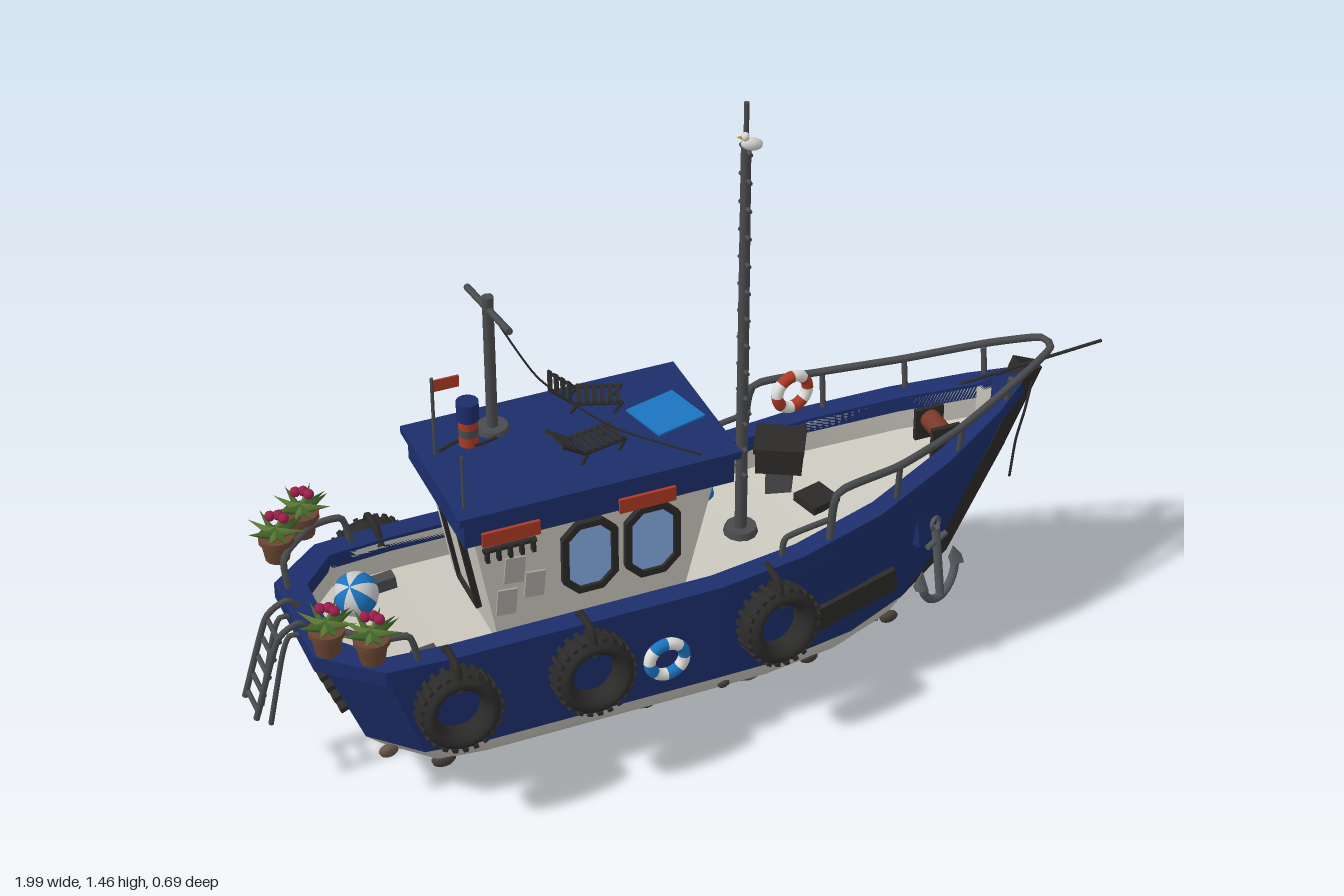
import * as THREE from 'three';
import { toCreasedNormals } from 'three/addons/utils/BufferGeometryUtils.js';

const V = (x, y, z) => new THREE.Vector3(x, y, z);
const BLUE = 0x1c2e6b, WHITE = 0xc9c6bc, DARK = 0x2b2a29, STEEL = 0x4a4b4d, RED = 0xb03a26, GLASS = 0x86aee6, SKY = 0x1a75c0;
const mats = {};
const mat = c => (mats[c] ??= new THREE.MeshStandardMaterial({ color: c, side: THREE.DoubleSide }));

function add(parent, name, geo, color, pos = [0, 0, 0], rot = [0, 0, 0]) {
  const m = new THREE.Mesh(geo, mat(color));
  m.name = name;
  m.position.set(...pos);
  m.rotation.set(...rot);
  parent.add(m);
  return m;
}
function group(parent, name, pos = [0, 0, 0], rot = [0, 0, 0], order = 'YXZ') {
  const g = new THREE.Group();
  g.name = name;
  g.position.set(...pos);
  g.rotation.set(...rot, order);
  parent.add(g);
  return g;
}
const box = (x, y, z) => new THREE.BoxGeometry(x, y, z);
const cyl = (a, b, h, n = 12) => new THREE.CylinderGeometry(a, b, h, n);
function rod(parent, name, a, b, r, color = STEEL) {
  const p = V(...a), q = V(...b), d = q.clone().sub(p);
  const m = add(parent, name, cyl(r, r, d.length(), 8), color, p.clone().lerp(q, 0.5).toArray());
  m.quaternion.setFromUnitVectors(V(0, 1, 0), d.normalize());
}
function tube(parent, name, pts, r, color = STEEL) {
  const c = new THREE.CatmullRomCurve3(pts.map(p => V(...p)), false, 'catmullrom', 0.3);
  add(parent, name, new THREE.TubeGeometry(c, pts.length * 6, r, 6), color);
}
// Surface through equal-length cross-sections
function loft(sections, crease = 0.5) {
  const n = sections[0].length, idx = [];
  for (let i = 0; i < sections.length - 1; i++)
    for (let j = 0; j < n - 1; j++) {
      const a = i * n + j, b = a + n;
      idx.push(a, b, a + 1, b, b + 1, a + 1);
    }
  const g = new THREE.BufferGeometry();
  g.setAttribute('position', new THREE.Float32BufferAttribute(sections.flat(2), 3));
  g.setIndex(idx);
  return toCreasedNormals(g, crease);
}
const mirrored = half => [...half, ...half.slice(0, -1).reverse().map(([x, y, z]) => [x, y, -z])];

// Hull stations: sheer x, sheer y, sheer half width, chine x, chine half width, keel x
const ST = [
  [-0.875, 0.415, 0, -0.78, 0, -0.64], [-0.875, 0.415, 0.13, -0.78, 0.13, -0.64],
  [-0.76, 0.41, 0.235, -0.68, 0.23, -0.58], [-0.6, 0.41, 0.245, -0.55, 0.245, -0.5],
  [0, 0.412, 0.245, 0, 0.245, 0], [0.2, 0.437, 0.243, 0.15, 0.243, 0.14],
  [0.4, 0.475, 0.215, 0.34, 0.21, 0.3], [0.6, 0.522, 0.15, 0.5, 0.14, 0.42],
  [0.76, 0.565, 0.075, 0.59, 0.07, 0.47], [0.87, 0.6, 0.006, 0.66, 0.004, 0.5]];
const PROFILE = [[0.165, 1], [0.125, 0.92], [0.085, 0.76], [0.04, 0.42], [0.015, 0]];

function interp(table, x) {
  for (let i = 1; i < table.length; i++) {
    const [x0, v0] = table[i - 1], [x1, v1] = table[i];
    if ((x - x0) * (x - x1) <= 0 && x0 !== x1) return v0 + (v1 - v0) * (x - x0) / (x1 - x0);
  }
  return 0;
}

function buildHull(boat) {
  const hull = group(boat, 'hull');
  add(hull, 'topsides', loft(ST.map(([x, y, w, cx, cw]) => [[x, y, w], [cx, 0.165, cw]])), BLUE);
  add(hull, 'topsidesOther', loft(ST.map(([x, y, w, cx, cw]) => [[cx, 0.165, -cw], [x, y, -w]])), BLUE);
  add(hull, 'bottom', loft(ST.map(([, , , cx, cw, kx]) =>
    mirrored(PROFILE.map(([y, f]) => [kx + (cx - kx) * (y - 0.015) / 0.15, y, cw * f]))), 0.7), WHITE);
  // Rim, bulwark inside and deck
  const inner = ST.map(([x, y, w], i) => [x + (i < 2 ? 0.055 : i === 2 ? 0.02 : i === 9 ? -0.09 : 0), y, Math.max(w - (i === 1 ? 0.025 : 0.042), 0)]);
  for (const s of [1, -1])
    add(hull, 'rim', loft(ST.map(([x, y, w], i) => {
      const o = w ? w + 0.008 : 0, ox = x + (i < 2 ? -0.01 : 0), [ix, , iw] = inner[i];
      return [[ox, y - 0.03, s * o], [ox, y + 0.008, s * o], [ix, y + 0.008, s * iw], [ix, y - 0.03, s * iw]];
    }), 0.4), BLUE);
  add(hull, 'deck', loft(inner.map(([x, y, w]) => mirrored([[x, y, w], [x, y - 0.08, w], [x, y - 0.08, 0]])), 0.4), WHITE);
  // Keel and stem
  add(hull, 'keel', box(1.18, 0.022, 0.026), DARK, [-0.08, 0.011, 0]);
  const stem = [[0.47, 0, 0.012], [0.51, 0, 0.013], [0.67, 0.155, 0.02], [0.8, 0.42, 0.03], [0.885, 0.615, 0.036]];
  add(hull, 'stem', loft(stem.map(([x, y, w]) => [[x - 0.035, y + 0.012, w], [x + 0.012, y, w * 0.5], [x + 0.012, y, -w * 0.5], [x - 0.035, y + 0.012, -w], [x - 0.035, y + 0.012, w]])), DARK);
  // Barnacle lumps
  const chine = ST.slice(1).map(s => [s[3], s[4]]);
  const lumps = [[-0.74, 0.135, 0.022], [-0.62, 0.08, 0.028], [-0.45, 0.04, 0.028], [-0.33, 0.06, 0.016], [-0.13, 0.06, 0.026], [0.13, 0.045, 0.04], [0.26, 0.08, 0.022], [0.48, 0.1, 0.022], [-0.62, 0.03, 0.03], [0.02, 0.13, 0.015]];
  for (const s of [1, -1])
    lumps.forEach(([x, y, r], i) => {
      const X = s > 0 ? x : x * 0.93 - 0.03;
      const m = add(hull, 'barnacle', new THREE.DodecahedronGeometry(r, 1), i % 5 ? 0x47423d : 0x6d5a4e,
        [X, y, s * interp(chine, X) * interp(PROFILE, y)], [s * (1 - y * 4), 0, 0]);
      m.scale.z = 0.6;
    });
  // Transom slats
  for (let i = 0; i < 5; i++)
    add(hull, 'transomSlat', box(0.035, 0.012, 0.17), DARK, [-0.855 + i * 0.013, 0.35 - i * 0.033, 0], [0, 0, 0.4]);
}

// Chamfered rectangle outline
function chamfer(w, h, c, Type = THREE.Shape) {
  const a = w / 2, b = h / 2;
  return new Type([[-a + c, -b], [a - c, -b], [a, -b + c], [a, b - c], [a - c, b], [-a + c, b], [-a, b - c], [-a, -b + c]].map(p => new THREE.Vector2(...p)));
}
function windowUnit(parent, name, w, h, pos, rot, fill = GLASS, c = 0.035) {
  const g = group(parent, name, pos, rot);
  const frame = chamfer(w, h, c);
  frame.holes.push(chamfer(w - 0.03, h - 0.03, c * 0.75, THREE.Path));
  add(g, 'frame', new THREE.ExtrudeGeometry(frame, { depth: 0.014, bevelEnabled: false }), DARK);
  add(g, 'pane', new THREE.ShapeGeometry(chamfer(w - 0.02, h - 0.02, c * 0.8)), fill, [0, 0, 0.006]);
}

function buildCabin(boat) {
  const cabin = group(boat, 'cabin');
  const side = new THREE.Shape([[-0.472, 0.33], [-0.05, 0.33], [0.032, 0.65], [-0.527, 0.65]].map(p => new THREE.Vector2(...p)));
  add(cabin, 'walls', new THREE.ExtrudeGeometry(side, { depth: 0.3, bevelEnabled: false }), WHITE, [0, 0, -0.15]);
  add(cabin, 'roof', box(0.615, 0.07, 0.355), BLUE, [-0.245, 0.672, 0]);
  add(cabin, 'roofTop', box(0.64, 0.018, 0.375), BLUE, [-0.245, 0.71, 0]);
  for (const s of [1, -1]) {
    const ry = s > 0 ? 0 : Math.PI;
    for (const x of [-0.265, -0.12]) windowUnit(cabin, 'sideWindow', 0.128, 0.185, [x, 0.523, s * 0.15], [0, ry, 0]);
    for (const x of [-0.45, -0.14]) add(cabin, 'redPlate', box(0.13, 0.035, 0.012), RED, [x, 0.65, s * 0.179]);
    // Hook rail
    add(cabin, 'hookRail', box(0.12, 0.008, 0.012), DARK, [-0.445, 0.6, s * 0.155]);
    for (let i = 0; i < 5; i++) add(cabin, 'hook', box(0.008, 0.03, 0.014), DARK, [-0.497 + i * 0.026, 0.588, s * 0.158]);
  }
  for (const [x, y] of [[-0.435, 0.53], [-0.39, 0.48], [-0.455, 0.45]])
    add(cabin, 'patch', box(0.045, 0.065, 0.006), 0xa9a7a0, [x, y, 0.152], [0, 0, -0.1]);
  add(cabin, 'pinkCloth', new THREE.ConeGeometry(0.022, 0.1, 6), 0xb8204e, [-0.4, 0.54, -0.165]);
  windowUnit(cabin, 'frontWindow', 0.2, 0.13, [0.012, 0.565, 0], [0.25, Math.PI / 2, 0], GLASS, 0.015);
  windowUnit(cabin, 'door', 0.13, 0.25, [-0.5, 0.5, 0], [0.17, -Math.PI / 2, 0], WHITE, 0.006);
  add(cabin, 'lantern', new THREE.SphereGeometry(0.02, 10, 8), SKY, [0.015, 0.59, 0.13]);
  add(cabin, 'lanternBracket', box(0.03, 0.012, 0.012), DARK, [0.015, 0.615, 0.13]);

  // Funnel, flag, aerial and pole on the roof
  const top = group(boat, 'roofGear', [0, 0.718, 0]);
  [[0.022, 0.025, RED], [0.022, 0.02, STEEL], [0.022, 0.02, RED], [0.025, 0.045, BLUE]].reduce((y, [r, h, c]) => {
    add(top, 'funnel', cyl(r, r, h), c, [-0.45, y + h / 2, -0.07]);
    return y + h;
  }, 0);
  rod(top, 'flagPole', [-0.53, 0, -0.06], [-0.53, 0.195, -0.06], 0.004);
  add(top, 'flag', box(0.06, 0.028, 0.004), RED, [-0.5, 0.175, -0.06]);
  rod(top, 'aerial', [-0.54, -0.02, 0.145], [-0.54, 0.13, 0.145], 0.003);
  rod(top, 'pole', [-0.385, 0, -0.1], [-0.385, 0.34, -0.1], 0.013);
  add(top, 'poleFoot', cyl(0.035, 0.038, 0.012), STEEL, [-0.385, 0.006, -0.1]);
  rod(top, 'crossbar', [-0.385, 0.33, 0.03], [-0.385, 0.287, -0.23], 0.008);
  tube(top, 'cable', [[-0.385, 0.31, -0.1], [-0.3, 0.15, -0.035], [-0.17, 0.05, 0.06], [-0.01, 0.005, 0.17]], 0.0025, DARK);
  tube(top, 'looseRope', [[-0.39, 0.006, -0.06], [-0.44, 0.006, -0.05], [-0.47, 0.006, -0.08], [-0.52, 0.006, -0.06]], 0.004, DARK);
  add(top, 'towel', box(0.125, 0.005, 0.12), SKY, [-0.02, 0.004, -0.005], [0, 0.25, 0]);
  for (const [x, z, a] of [[-0.17, -0.11, -0.35], [-0.235, 0.06, 0.2]]) {
    const l = group(top, 'lounger', [x, 0, z], [0, a, 0]);
    for (const s of [-0.033, 0.033]) {
      rod(l, 'seatRail', [-0.02, 0.025, s], [0.08, 0.025, s], 0.004, DARK);
      rod(l, 'backRail', [-0.02, 0.025, s], [-0.075, 0.065, s], 0.004, DARK);
      for (const lx of [-0.03, 0.065]) rod(l, 'leg', [lx, 0, s], [lx + 0.02, 0.027, s], 0.004, DARK);
    }
    for (let i = 0; i < 6; i++) add(l, 'seatSlat', box(0.01, 0.005, 0.07), DARK, [-0.01 + i * 0.017, 0.029, 0]);
    for (let i = 0; i < 4; i++) add(l, 'backSlat', box(0.01, 0.005, 0.07), DARK, [-0.03 - i * 0.014, 0.036 + i * 0.0102, 0], [0, 0, -0.63]);
  }
}

function lifeRing(parent, color, pos, rot) {
  const g = group(parent, 'lifeRing', pos, rot);
  for (let i = 0; i < 8; i++)
    add(g, 'ringPart', new THREE.TorusGeometry(0.041, 0.014, 8, 5, Math.PI / 4), i % 2 ? 0xe4e2dc : color, [0, 0, 0], [0, 0, i * Math.PI / 4]);
}

function buildSides(boat) {
  const fenders = group(boat, 'fenders');
  for (const [x, s] of [[-0.62, 1], [-0.315, 1], [0.12, 1], [-0.62, -1], [-0.315, -1], [-0.125, -1], [0.12, -1]]) {
    const t = group(fenders, 'tyre', [x, 0.318, s * 0.295], [-s * 0.16, s * (x > 0 ? 0.12 : x < -0.5 ? -0.04 : 0), 0]);
    add(t, 'tyreBody', new THREE.TorusGeometry(0.07, 0.021, 10, 28), DARK).scale.z = 1.75;
    for (let i = 0; i < 24; i++) {
      const a = i * Math.PI / 12;
      add(t, 'tread', box(0.008, 0.011, 0.055), DARK, [Math.cos(a) * 0.089, Math.sin(a) * 0.089, 0], [0, 0, a]);
    }
    tube(fenders, 'strap', [[x, 0.375, s * 0.315], [x, 0.425, s * 0.29], [x, 0.43, s * 0.23], [x, 0.4, s * 0.2]], 0.009, DARK);
  }
  lifeRing(boat, SKY, [-0.13, 0.272, 0.262], [0, 0, 0]);
  lifeRing(boat, RED, [0.375, 0.55, -0.2], [0, 0.15, 0]);
  add(boat, 'sidePlate', box(0.235, 0.06, 0.014), DARK, [0.335, 0.262, 0.222], [0, 0.17, 0.13]);
  const panel = group(boat, 'redPanel', [0.35, 0.385, -0.229], [0, Math.PI - 0.15, 0]);
  add(panel, 'panelFrame', box(0.145, 0.095, 0.012), DARK);
  for (const x of [-0.034, 0.034]) add(panel, 'panelPane', box(0.056, 0.077, 0.018), 0xc8412a, [x, 0, 0]);
  // Anchor with its mounting plate
  const an = group(boat, 'anchor', [0.565, 0.27, 0.165], [-0.12, 0.5, 0]);
  add(an, 'anchorPlate', box(0.075, 0.075, 0.02), BLUE, [-0.005, 0.09, -0.015]);
  rod(an, 'shank', [0, -0.09, 0.012], [0, 0.09, 0.012], 0.01, 0x55595e);
  rod(an, 'stock', [-0.035, 0.055, 0.012], [0.035, 0.055, 0.012], 0.007, 0x55595e);
  add(an, 'anchorEye', new THREE.TorusGeometry(0.014, 0.005, 6, 12), 0x55595e, [0, 0.1, 0.012]);
  add(an, 'anchorArms', new THREE.TorusGeometry(0.065, 0.01, 8, 14, Math.PI), 0x55595e, [0, -0.03, 0.012], [0, 0, Math.PI]);
  for (const s of [-1, 1]) add(an, 'fluke', new THREE.ConeGeometry(0.022, 0.045, 4), 0x55595e, [s * 0.065, -0.015, 0.012], [0, 0, s * 0.2]);
}

function buildDeckGear(boat) {
  // Main mast with rungs
  const mast = group(boat, 'mast', [0.16, 0, 0]);
  add(mast, 'mastPole', cyl(0.011, 0.014, 1.01), STEEL, [0, 0.855, 0]);
  rod(mast, 'mastTip', [0, 1.35, 0], [0, 1.455, 0], 0.006);
  add(mast, 'mastFoot', cyl(0.036, 0.04, 0.016), STEEL, [0, 0.362, 0]);
  for (let i = 0; i < 13; i++) rod(mast, 'rung', [0, 0.52 + i * 0.0685, -0.026], [0, 0.52 + i * 0.0685, 0.026], 0.005);
  const bird = group(boat, 'bird', [0.165, 1.365, 0.018], [0, 0, -0.25]);
  add(bird, 'birdBody', new THREE.SphereGeometry(0.016, 10, 8), 0xd9d8d4).scale.set(1.6, 0.9, 0.9);
  add(bird, 'birdHead', new THREE.SphereGeometry(0.01, 8, 6), 0xd9d8d4, [-0.02, 0.016, 0]);
  add(bird, 'beak', new THREE.ConeGeometry(0.004, 0.014, 6), 0xc99a2e, [-0.034, 0.014, 0], [0, 0, 1.57]);

  // Rails at bow and stern
  const rails = group(boat, 'rails');
  tube(rails, 'bowRail', [1, -1].flatMap(s => {
    const p = [[0.27, 0.46, 0.23], [0.29, 0.575, 0.225], [0.45, 0.585, 0.2], [0.62, 0.605, 0.15], [0.8, 0.645, 0.08], [0.91, 0.667, 0.025]].map(([x, y, z]) => [x, y, s * z]);
    return s > 0 ? p : p.reverse();
  }), 0.009);
  for (const s of [1, -1]) {
    for (const [x, y, z, h] of [[0.45, 0.48, 0.19, 0.585], [0.63, 0.53, 0.135, 0.607], [0.79, 0.57, 0.055, 0.643]])
      rod(rails, 'bowPost', [x, y, s * z], [x, h, s * (z + 0.012)], 0.007);
    tube(rails, 'lowRail', [[0.16, 0.43, s * 0.22], [0.17, 0.485, s * 0.22], [0.28, 0.505, s * 0.22]], 0.007);
    tube(rails, 'sternRail', [[-0.68, 0.41, s * 0.225], [-0.7, 0.485, s * 0.225], [-0.77, 0.49, s * 0.215], [-0.86, 0.49, s * 0.13], [-0.86, 0.41, s * 0.11]], 0.008);
    // Flower pots on the quarters
    for (const [x, z] of [[-0.862, 0.175], [-0.785, 0.238]]) {
      const p = group(boat, 'flowerPot', [x, 0.46, s * z]);
      add(p, 'pot', cyl(0.036, 0.027, 0.055), 0x6a4632, [0, 0.027, 0]);
      add(p, 'potRim', cyl(0.04, 0.04, 0.014), 0x6a4632, [0, 0.053, 0]);
      for (let i = 0; i < 9; i++) {
        const a = i * 2.4, leaf = group(p, 'leaf', [0, 0.055, 0], [0, a, 0]);
        add(leaf, 'leafBlade', new THREE.ConeGeometry(0.017, 0.075, 4), i % 2 ? 0x5f7d35 : 0x436a2c, [0.03, 0.018, 0], [0, 0, -1.05 - 0.15 * (i % 3)]).scale.z = 0.8;
        if (i % 3 === 0) add(leaf, 'blossom', new THREE.IcosahedronGeometry(0.012, 1), 0x9c1f4c, [0.02, 0.045, 0]);
      }
    }
    add(boat, 'sternBollard', box(0.055, 0.03, 0.03), STEEL, [-0.64, 0.35, s * 0.14], [0, 0, 0.1]);
    add(boat, 'sideCleat', box(0.05, 0.03, 0.02), STEEL, [0.11, 0.36, s * 0.175]);
    // Boarding ladder
    tube(boat, 'ladderRail', [[-0.86, 0.42, s * 0.042], [-0.885, 0.445, s * 0.042], [-0.935, 0.41, s * 0.042], [-0.995, 0.215, s * 0.042]], 0.007);
    tube(boat, 'ladderBrace', [[-0.86, 0.4, s * 0.034], [-0.905, 0.41, s * 0.034], [-0.925, 0.36, s * 0.034], [-0.962, 0.185, s * 0.034]], 0.006);
  }
  for (let i = 0; i < 5; i++) rod(boat, 'ladderRung', [-0.93 - i * 0.0145, 0.405 - i * 0.044, -0.042], [-0.93 - i * 0.0145, 0.405 - i * 0.044, 0.042], 0.006);

  // Beach ball
  const ball = group(boat, 'beachBall', [-0.72, 0.385, -0.08], [0.5, 0, 0.4]);
  for (let i = 0; i < 8; i++)
    add(ball, 'ballPanel', new THREE.SphereGeometry(0.05, 4, 14, i * Math.PI / 4, Math.PI / 4), i % 2 ? 0xe6e6e4 : SKY);

  // Foredeck boxes, windlass and fishing rod
  add(boat, 'chest', box(0.105, 0.06, 0.095), DARK, [0.3, 0.468, -0.1], [0, -0.5, 0]);
  add(boat, 'chestLid', box(0.115, 0.012, 0.105), DARK, [0.3, 0.5, -0.1], [0, -0.5, 0]);
  add(boat, 'chestStand', box(0.06, 0.08, 0.06), STEEL, [0.3, 0.405, -0.1], [0, -0.5, 0]);
  add(boat, 'hatch', box(0.075, 0.02, 0.075), DARK, [0.345, 0.395, 0.005], [0, 0.25, 0]);
  const w = group(boat, 'windlass', [0.645, 0.465, 0]);
  for (const s of [1, -1]) add(w, 'windlassCheek', box(0.07, 0.08, 0.012), DARK, [0, 0.03, s * 0.042]);
  add(w, 'windlassDrum', cyl(0.024, 0.024, 0.08), 0x7a3a28, [0, 0.042, 0], [Math.PI / 2, 0, 0]);
  rod(boat, 'fishingRod', [0.7, 0.545, -0.08], [0.99, 0.72, 0.11], 0.004, DARK);
  tube(boat, 'bowRope', [[0.86, 0.6, 0.04], [0.835, 0.54, 0.06], [0.82, 0.46, 0.055], [0.81, 0.36, 0.055]], 0.003, DARK);
}

export function createModel() {
  const boat = new THREE.Group();
  boat.name = 'fishingBoat';
  buildHull(boat);
  buildCabin(boat);
  buildSides(boat);
  buildDeckGear(boat);
  return boat;
}
